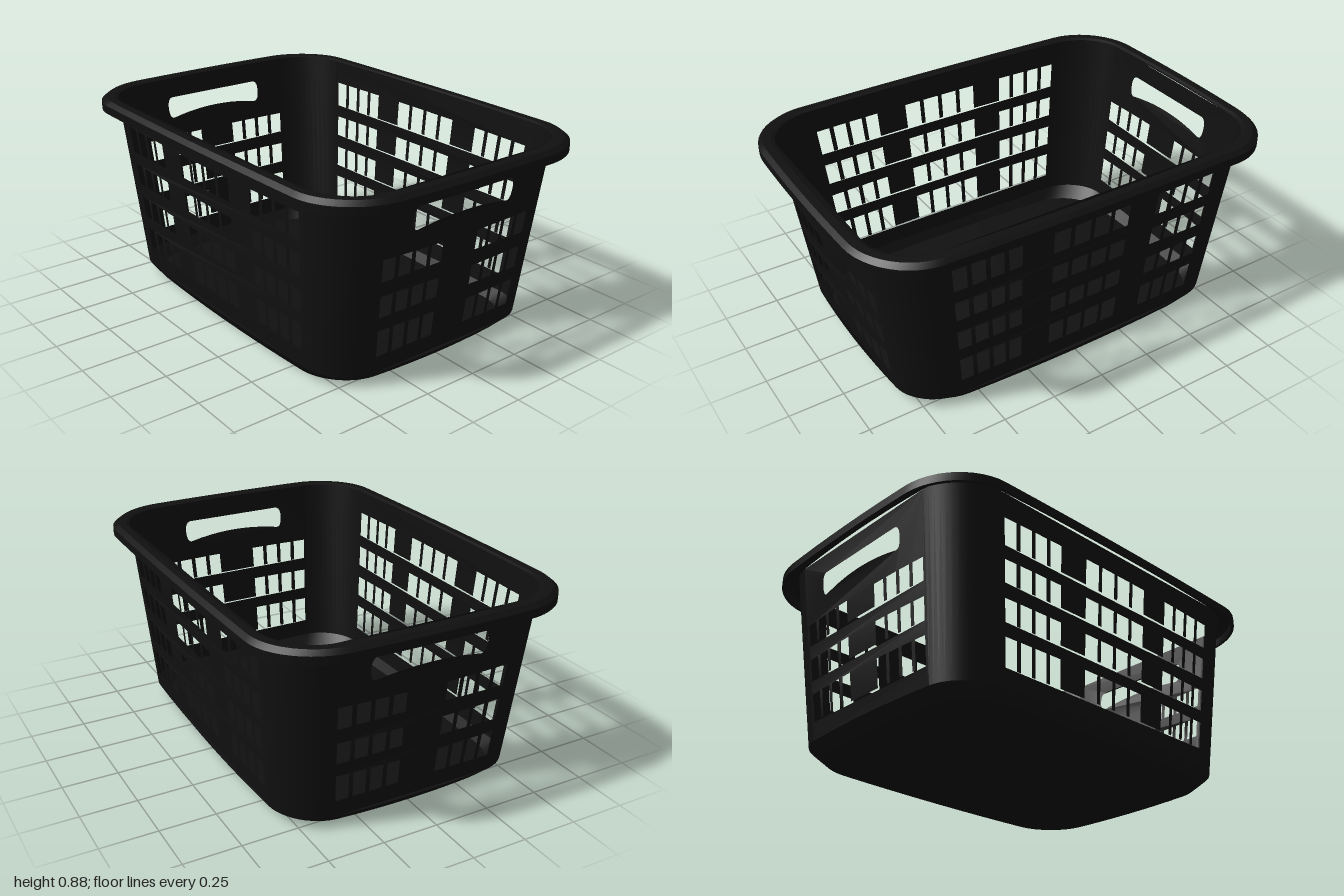
import * as THREE from 'three';

const WALL_BASE = 0.05, WALL_TOP = 0.87, BOW = 0.015;
const FRONT_SPAN = 0.66, SIDE_SPAN = 0.74; // flat fraction of each wall, the rest is corner

// Half width and half length of the tapered wall at height y
const halfX = (y) => 0.58 + (y - 0.05) * 0.078;
const halfZ = (y) => 0.83 + (y - 0.05) * 0.123;

const material = new THREE.MeshStandardMaterial({ color: 0x101010, side: THREE.DoubleSide });

function addMesh(group, name, geometry) {
  geometry.computeVertexNormals();
  const mesh = new THREE.Mesh(geometry, material);
  mesh.name = name;
  group.add(mesh);
  return mesh;
}

// Skin a list of cross-sections, each a list of [x, y, z]
function loft(rows) {
  const n = rows[0].length, index = [];
  for (let r = 0; r < rows.length - 1; r++) {
    for (let i = 0; i < n - 1; i++) {
      const a = r * n + i, b = a + n;
      index.push(a, b, a + 1, b, b + 1, a + 1);
    }
  }
  const geometry = new THREE.BufferGeometry();
  geometry.setAttribute('position', new THREE.Float32BufferAttribute(rows.flat(2), 3));
  geometry.setIndex(index);
  return geometry;
}

// Corner curve joining the bowed front edge to the bowed side edge, as [x, z]
function cornerCurve(X, Z, uf, us, b) {
  const x0 = X * uf, z0 = Z - b, x1 = X - b, z1 = Z * us;
  const cx = x1 - (2 * b / z1) * (z0 - z1), cz = z0 - (2 * b / x0) * (x1 - x0);
  const k = 0.55;
  return new THREE.CubicBezierCurve(
    new THREE.Vector2(x0, z0),
    new THREE.Vector2(x0 + k * (cx - x0), z0 + k * (cz - z0)),
    new THREE.Vector2(x1 + k * (cx - x1), z1 + k * (cz - z1)),
    new THREE.Vector2(x1, z1),
  ).getPoints(12).map((p) => [p.x, p.y]);
}

// Full closed outline at one height
function ring(X, Z, y, uf = FRONT_SPAN, us = SIDE_SPAN, b = BOW) {
  const q = [], steps = 4;
  for (let i = 0; i < steps; i++) q.push([X * uf * i / steps, Z - b * (i / steps) ** 2]);
  q.push(...cornerCurve(X, Z, uf, us, b));
  for (let i = steps - 1; i >= 0; i--) q.push([X - b * (i / steps) ** 2, Z * us * i / steps]);
  const half = [...q, ...q.slice(0, -1).reverse().map(([x, z]) => [x, -z])];
  const full = [...half, ...half.slice(0, -1).reverse().map(([x, z]) => [-x, z])];
  return full.map(([x, z]) => [x, y, z]);
}

// Grid of slots between fractions from and to of the wall
function slots(shape, rows, from, to, gap, count = 4) {
  const width = (to - from - gap * (count - 1)) / count;
  for (const [y0, y1] of rows) {
    for (let i = 0; i < count; i++) {
      const a = from + i * (width + gap), b = a + width;
      shape.holes.push(new THREE.Path([[a, y0], [b, y0], [b, y1], [a, y1]]
        .map(([u, y]) => new THREE.Vector2(u, y))));
    }
  }
}

// Blank wall in (fraction, height) space
function blankWall(span) {
  const points = [], n = 10;
  for (let i = 0; i <= n; i++) points.push(new THREE.Vector2(span * (2 * i / n - 1), WALL_BASE));
  for (let i = n; i >= 0; i--) points.push(new THREE.Vector2(span * (2 * i / n - 1), WALL_TOP));
  return new THREE.Shape(points);
}

// Bend a flat wall onto the tapered, bowed body
function wallGeometry(shape, span, across, out) {
  const geometry = new THREE.ShapeGeometry(shape, 10);
  const p = geometry.attributes.position;
  for (let i = 0; i < p.count; i++) {
    const u = p.getX(i), y = p.getY(i);
    p.setXYZ(i, u * across(y), y, out(y) - BOW * (u / span) ** 2);
  }
  return geometry;
}

export function createModel() {
  const model = new THREE.Group();
  model.name = 'basket';
  const rows = [[0.13, 0.255], [0.315, 0.415], [0.48, 0.58], [0.64, 0.76]];

  // End walls with slots and a hand hole
  const end = blankWall(FRONT_SPAN);
  slots(end, rows.slice(0, 3), 0.153, 0.637, 0.032);
  slots(end, rows.slice(0, 3), -0.637, -0.153, 0.032);
  const grip = new THREE.Path();
  grip.moveTo(-0.375, 0.775);
  grip.lineTo(0.375, 0.775);
  grip.quadraticCurveTo(0.427, 0.775, 0.427, 0.722);
  grip.quadraticCurveTo(0.427, 0.665, 0.38, 0.672);
  grip.quadraticCurveTo(0, 0.718, -0.38, 0.672);
  grip.quadraticCurveTo(-0.427, 0.665, -0.427, 0.722);
  grip.quadraticCurveTo(-0.427, 0.775, -0.375, 0.775);
  end.holes.push(grip);
  const endGeometry = wallGeometry(end, FRONT_SPAN, halfX, halfZ);
  addMesh(model, 'frontWall', endGeometry);
  addMesh(model, 'backWall', endGeometry).rotation.y = Math.PI;

  // Long side walls with three groups of slots
  const side = blankWall(SIDE_SPAN);
  slots(side, rows, -0.714, -0.371, 0.023);
  slots(side, rows, -0.207, 0.207, 0.023);
  slots(side, rows, 0.371, 0.714, 0.023);
  const sideGeometry = wallGeometry(side, SIDE_SPAN, halfZ, halfX);
  addMesh(model, 'leftWall', sideGeometry).rotation.y = Math.PI / 2;
  addMesh(model, 'rightWall', sideGeometry).rotation.y = -Math.PI / 2;

  // Rounded corners
  for (const sx of [1, -1]) {
    for (const sz of [1, -1]) {
      const sections = [WALL_TOP, WALL_BASE].map((y) => {
        const curve = cornerCurve(halfX(y), halfZ(y), FRONT_SPAN, SIDE_SPAN, BOW)
          .map(([x, z]) => [sx * x, y, sz * z]);
        return sx * sz > 0 ? curve : curve.reverse();
      });
      addMesh(model, `${sz > 0 ? 'front' : 'back'}${sx > 0 ? 'Left' : 'Right'}Corner`, loft(sections));
    }
  }

  // Bevelled foot and floor
  const foot = ring(0.55, 0.785, 0, 0.6, 0.7);
  addMesh(model, 'footBevel', loft([ring(halfX(WALL_BASE), halfZ(WALL_BASE), WALL_BASE), foot]));
  addMesh(model, 'floor', loft([foot, foot.map(() => [0, 0, 0])]));

  // Overhanging rim, each band creased from the next
  const rim = [
    ring(halfX(WALL_TOP), halfZ(WALL_TOP), WALL_TOP),
    ring(0.655, 0.945, 0.876, 0.64, 0.735, 0.012),
    ring(0.685, 0.98, 0.876, 0.58, 0.72, 0.008),
    ring(0.705, 1, 0.858, 0.57, 0.72, 0.008),
    ring(0.705, 1, 0.82, 0.57, 0.72, 0.008),
    ring(0.693, 0.988, 0.82, 0.57, 0.72, 0.008),
    ring(0.693, 0.988, 0.855, 0.57, 0.72, 0.008),
  ];
  const rimGroup = new THREE.Group();
  rimGroup.name = 'rim';
  for (let i = 0; i < rim.length - 1; i++) addMesh(rimGroup, 'rimBand', loft([rim[i + 1], rim[i]].reverse()));
  model.add(rimGroup);

  return model;
}
